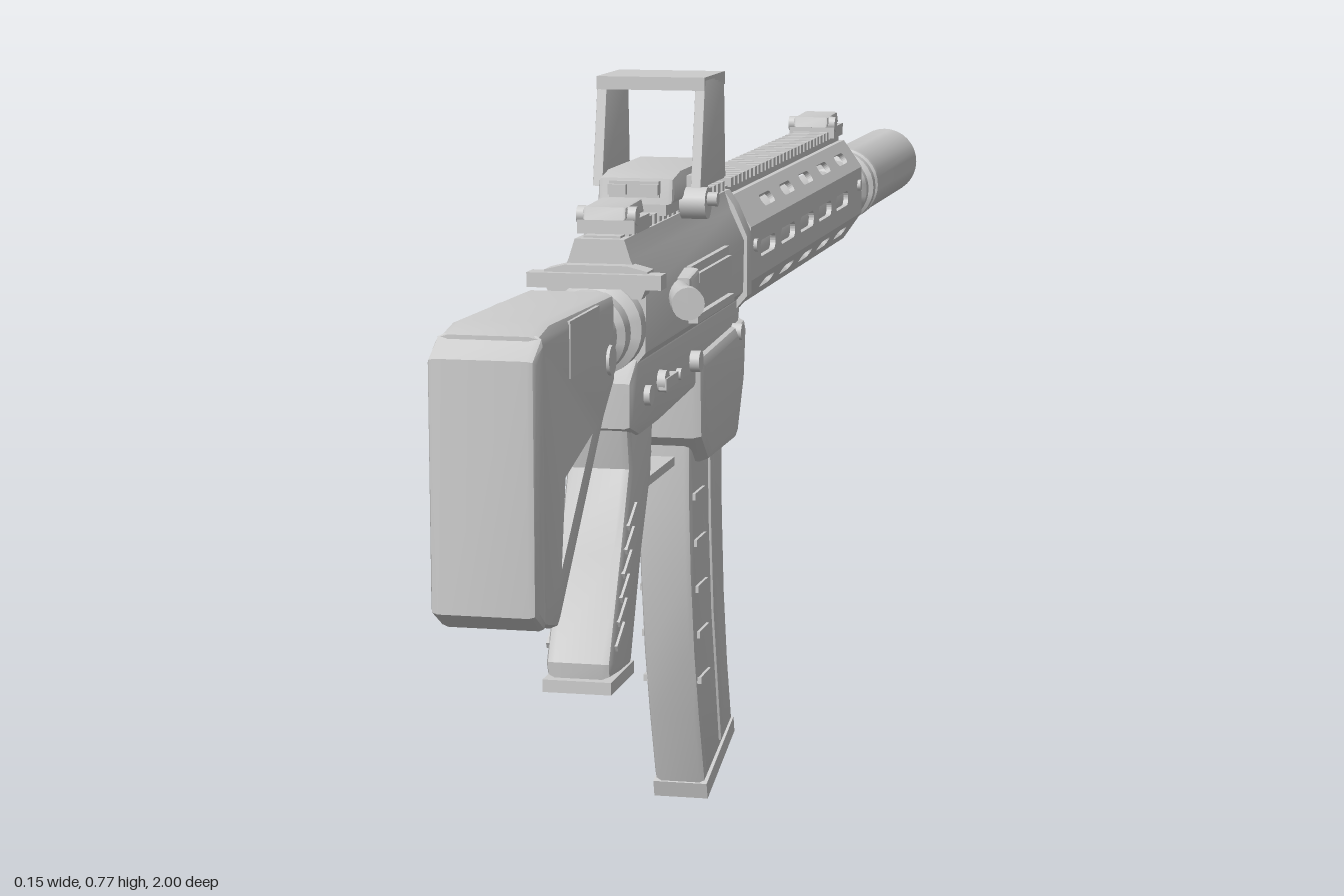
import * as THREE from 'three';
import { toCreasedNormals } from 'three/addons/utils/BufferGeometryUtils.js';

export function createModel() {
  const model = new THREE.Group();
  model.name = 'rifle';
  const body = new THREE.Group();
  body.name = 'body';
  body.position.x = -0.0125;
  model.add(body);
  const grey = new THREE.MeshStandardMaterial({ color: 0xcccccc });
  grey.name = 'light grey';

  const add = (name, geo, x = 0, y = 0, z = 0) => {
    const m = new THREE.Mesh(geo, grey);
    m.name = name;
    m.position.set(x, y, z);
    body.add(m);
    return m;
  };
  const box = (name, w, h, d, x, y, z) => add(name, new THREE.BoxGeometry(w, h, d), x, y, z);
  // cylinder lying along x
  const pin = (name, r, len, x, y, z, n = 16) =>
    add(name, new THREE.CylinderGeometry(r, r, len, n).rotateZ(Math.PI / 2), x, y, z);
  const path = (pts, Type = THREE.Shape) => new Type(pts.map(p => new THREE.Vector2(p[0], p[1])));
  // side outline given as [z, y], extruded across x with a bevelled edge
  const side = (name, pts, half, bevel = 0.006, holes = [], x = 0) => {
    const flip = a => a.map(([z, y]) => [-z, y]);
    const s = path(flip(pts));
    s.holes = holes.map(h => path(flip(h), THREE.Path));
    const depth = 2 * (half - bevel);
    const geo = new THREE.ExtrudeGeometry(s, {
      depth, bevelEnabled: bevel > 0, bevelThickness: bevel, bevelSize: bevel, bevelOffset: -bevel, bevelSegments: 2,
    });
    geo.translate(0, 0, -depth / 2).rotateY(Math.PI / 2);
    return add(name, toCreasedNormals(geo, 0.5), x);
  };
  // half cross-section [x, y] mirrored and extruded along z
  const section = (name, half, z0, z1) => {
    const s = path([...half, ...half.map(([x, y]) => [-x, y]).reverse()]);
    const geo = new THREE.ExtrudeGeometry(s, { depth: z1 - z0, bevelEnabled: false });
    return add(name, toCreasedNormals(geo, 0.5), 0, 0, z0);
  };
  // turned part along -z, profile given as [radius, -z]
  const turned = (name, pts, y, seg = 32) => {
    const geo = new THREE.LatheGeometry(pts.map(p => new THREE.Vector2(...p)), seg).rotateX(-Math.PI / 2);
    return add(name, toCreasedNormals(geo, 0.5), 0, y);
  };

  // Stock: skeleton frame, thin web, cheek rest and butt pad
  const opening = [[0.905, 0.475], [0.79, 0.495], [0.918, 0.375]];
  side('stock', [[0.975, 0.6], [0.935, 0.607], [0.715, 0.603], [0.715, 0.52], [0.757, 0.49],
    [0.915, 0.337], [0.975, 0.352]], 0.045, 0.01, [opening]);
  side('stockWeb', opening, 0.02, 0);
  side('buttPad', [[1, 0.583], [0.968, 0.6], [0.968, 0.347], [1, 0.365]], 0.047, 0.007);
  box('cheekRest', 0.092, 0.05, 0.1, 0, 0.575, 0.83);
  for (const x of [-0.042, 0.042]) pin('slingSocket', 0.014, 0.012, x, 0.545, 0.74);
  turned('bufferTube', [[0, -0.73], [0.033, -0.73], [0.033, -0.665], [0.04, -0.66], [0.04, -0.64],
    [0.035, -0.635], [0.035, -0.622], [0.045, -0.618], [0.045, -0.6], [0, -0.59]], 0.555);

  // Upper receiver with charging handle
  section('upperReceiver', [[0.032, 0.515], [0.044, 0.53], [0.045, 0.585], [0.03, 0.618], [0.024, 0.637]], 0.135, 0.6);
  section('receiverCollar', [[0.035, 0.51], [0.048, 0.525], [0.048, 0.59], [0.034, 0.622], [0.024, 0.637]], 0.135, 0.16);
  section('rearFlange', [[0.044, 0.583], [0.05, 0.597], [0.05, 0.609], [0.03, 0.614]], 0.59, 0.615);
  box('chargingHandle', 0.13, 0.014, 0.022, 0, 0.6, 0.612);
  box('ejectionPortFrame', 0.008, 0.05, 0.175, 0.044, 0.565, 0.335);
  box('ejectionPortCover', 0.008, 0.026, 0.15, 0.048, 0.568, 0.33);
  box('portHinge', 0.012, 0.008, 0.17, 0.048, 0.537, 0.335);
  side('brassDeflector', [[0.47, 0.55], [0.47, 0.585], [0.43, 0.59], [0.425, 0.55]], 0.012, 0.004, [], 0.046);
  const assist = add('forwardAssist', new THREE.CylinderGeometry(0.013, 0.013, 0.09, 16).rotateX(Math.PI / 2), 0.056, 0.57, 0.5);
  assist.rotation.y = 0.35;
  const button = add('forwardAssistButton', new THREE.CylinderGeometry(0.016, 0.016, 0.016, 16).rotateX(Math.PI / 2), 0.07, 0.57, 0.537);
  button.rotation.y = 0.35;

  // Lower receiver, magazine well and controls
  side('lowerReceiver', [[0.6, 0.525], [0.63, 0.505], [0.63, 0.462], [0.59, 0.449], [0.51, 0.45], [0.35, 0.458],
    [0.34, 0.44], [0.17, 0.44], [0.137, 0.525]], 0.037);
  side('magazineWell', [[0.36, 0.49], [0.355, 0.405], [0.32, 0.375], [0.185, 0.375], [0.15, 0.435], [0.14, 0.5]], 0.045, 0.012);
  for (const x of [-0.037, 0.037]) {
    pin('receiverPin', 0.01, 0.012, x, 0.485, 0.57);
    pin('receiverPin', 0.009, 0.022, x, 0.49, 0.18);
    pin('triggerPin', 0.006, 0.01, x, 0.485, 0.44);
    pin('magazineRelease', 0.011, 0.02, x, 0.488, 0.375);
    pin('selectorPivot', 0.011, 0.016, x, 0.49, 0.515);
    box('selectorLever', 0.008, 0.011, 0.05, x * 1.15, 0.488, 0.5);
  }
  box('boltCatch', 0.012, 0.045, 0.018, -0.043, 0.51, 0.36);
  box('triggerGuard', 0.026, 0.009, 0.18, 0, 0.38, 0.44);
  const strut = box('triggerGuardStrut', 0.026, 0.075, 0.009, 0, 0.415, 0.535);
  strut.rotation.x = 0.25;
  const triggerCurve = new THREE.QuadraticBezierCurve3(
    new THREE.Vector3(0, 0.46, 0.445), new THREE.Vector3(0, 0.425, 0.445), new THREE.Vector3(0, 0.402, 0.42));
  add('trigger', new THREE.TubeGeometry(triggerCurve, 8, 0.006, 8));

  // Pistol grip with textured sides
  side('grip', [[0.62, 0.47], [0.515, 0.46], [0.525, 0.4], [0.565, 0.33], [0.61, 0.228], [0.69, 0.235],
    [0.692, 0.25], [0.645, 0.345], [0.61, 0.42]], 0.032, 0.009);
  box('gripCap', 0.066, 0.012, 0.09, 0, 0.228, 0.651);
  for (const x of [-0.032, 0.032]) for (let i = 0; i < 6; i++) {
    const rib = box('gripRib', 0.005, 0.006, 0.035, x, 0.27 + i * 0.021, 0.66 - i * 0.01);
    rib.rotation.x = 0.5;
  }

  // Curved magazine with spine, side ribs and floor plate
  side('magazine', [[0.343, 0.4], [0.342, 0.33], [0.336, 0.26], [0.32, 0.17], [0.3, 0.1], [0.273, 0.02],
    [0.14, 0.055], [0.162, 0.13], [0.178, 0.21], [0.187, 0.3], [0.19, 0.4]], 0.028, 0.007);
  side('magazineSpine', [[0.262, 0.38], [0.258, 0.3], [0.246, 0.2], [0.21, 0.05], [0.19, 0.055],
    [0.228, 0.2], [0.24, 0.3], [0.244, 0.38]], 0.031, 0.002);
  const floor = box('magazineFloor', 0.058, 0.018, 0.14, 0, 0.03, 0.205);
  floor.rotation.x = 0.28;
  for (const x of [-0.028, 0.028]) for (let i = 0; i < 5; i++) {
    const y = 0.14 + i * 0.05;
    box('magazineRib', 0.006, 0.007, 0.045, x, y, 0.285 + 0.026 * (y - 0.14) / 0.2);
  }

  // Octagonal handguard: eight slotted plates around a liner
  const zBack = 0.133, zFront = -0.54, len = zBack - zFront;
  const ring = [[0.047, -0.028], [0.047, 0.03], [0.024, 0.063], [-0.024, 0.063],
    [-0.047, 0.03], [-0.047, -0.028], [-0.024, -0.061], [0.024, -0.061]];
  const slot = (cx, cy, l, r) => {
    const h = new THREE.Path();
    h.absarc(cx + l / 2 - r, cy, r, -Math.PI / 2, Math.PI / 2);
    h.absarc(cx - l / 2 + r, cy, r, Math.PI / 2, Math.PI * 1.5);
    return h;
  };
  ring.forEach(([ax, ay], i) => {
    const [bx, by] = ring[(i + 1) % 8];
    const w = Math.hypot(bx - ax, by - ay);
    const s = path([[0, 0], [len, 0], [len, w], [0, w]]);
    if (i !== 2) for (let k = 0; k < 5; k++) {
      s.holes.push(slot(0.09 + k * 0.112 + (i % 2 ? 0.05 : 0), w / 2, i % 2 ? 0.06 : 0.082, i % 2 ? 0.007 : 0.009));
    }
    const geo = new THREE.ExtrudeGeometry(s, { depth: 0.006, bevelEnabled: false, curveSegments: 5 }).translate(0, 0, -0.006);
    const u = new THREE.Vector3((bx - ax) / w, (by - ay) / w, 0);
    const basis = new THREE.Matrix4().makeBasis(new THREE.Vector3(0, 0, -1), u, new THREE.Vector3(u.y, -u.x, 0));
    geo.applyMatrix4(basis);
    add('handguardPlate', geo, ax, 0.566 + ay, zBack);
  });
  turned('handguardLiner', [[0, -0.13], [0.035, -0.13], [0.035, 0.49], [0.02, 0.5], [0.02, 0.58], [0, 0.58]], 0.56, 20);
  for (const x of [-0.047, 0.047]) for (const z of [0.115, -0.515]) pin('handguardScrew', 0.007, 0.008, x, 0.575, z, 10);

  // Top rails
  for (const [z0, z1] of [[0.145, 0.59], [-0.535, 0.13]]) {
    box('railBase', 0.036, 0.012, z1 - z0, 0, 0.633, (z0 + z1) / 2);
    const n = Math.floor((z1 - z0) / 0.0205);
    for (let i = 0; i < n; i++) box('railTooth', 0.044, 0.01, 0.011, 0, 0.642, z0 + 0.012 + i * 0.0205);
  }

  // Folded front and rear sights
  for (const [name, z] of [['frontSight', -0.48], ['rearSight', 0.545]]) {
    box(name + 'Clamp', 0.056, 0.014, 0.06, 0, 0.646, z);
    side(name, [[z + 0.038, 0.653], [z + 0.034, 0.665], [z - 0.03, 0.667], [z - 0.038, 0.653]], 0.021, 0.003);
    pin(name + 'Hinge', 0.009, 0.058, 0, 0.656, z + 0.022, 12);
  }

  // Holographic optic with open hood
  box('opticClamp', 0.058, 0.018, 0.15, 0, 0.652, 0.375);
  side('opticBase', [[0.46, 0.655], [0.455, 0.68], [0.42, 0.686], [0.3, 0.686], [0.295, 0.655]], 0.038, 0.005);
  box('opticRearPanel', 0.05, 0.016, 0.008, 0, 0.67, 0.46);
  for (const x of [-0.016, 0.016]) box('opticButton', 0.018, 0.01, 0.008, x, 0.67, 0.465);
  pin('opticKnob', 0.016, 0.026, 0.047, 0.651, 0.4, 14);
  pin('opticBolt', 0.007, 0.014, 0.063, 0.655, 0.4, 8);
  box('hoodFloor', 0.108, 0.012, 0.1, 0, 0.672, 0.35);
  for (const x of [-0.05, 0.05]) {
    side('hoodWall', [[0.39, 0.772], [0.303, 0.772], [0.297, 0.667], [0.412, 0.667]], 0.005, 0.001, [], x);
  }
  box('hoodRoof', 0.11, 0.013, 0.095, 0, 0.768, 0.347);

  // Barrel end and suppressor with grip rings and bore
  turned('suppressor', [[0.02, 0.53], [0.02, 0.55], [0.031, 0.555], [0.031, 0.572], [0.024, 0.576], [0.024, 0.59], [0.038, 0.592],
    [0.043, 0.6], [0.043, 0.614], [0.039, 0.618], [0.039, 0.628], [0.046, 0.632], [0.046, 0.648],
    [0.041, 0.652], [0.041, 0.662], [0.046, 0.666], [0.046, 0.68], [0.0445, 0.685], [0.0445, 0.985],
    [0.036, 1], [0.016, 1], [0.013, 0.985], [0.013, 0.9], [0, 0.9]], 0.56);

  return model;
}
